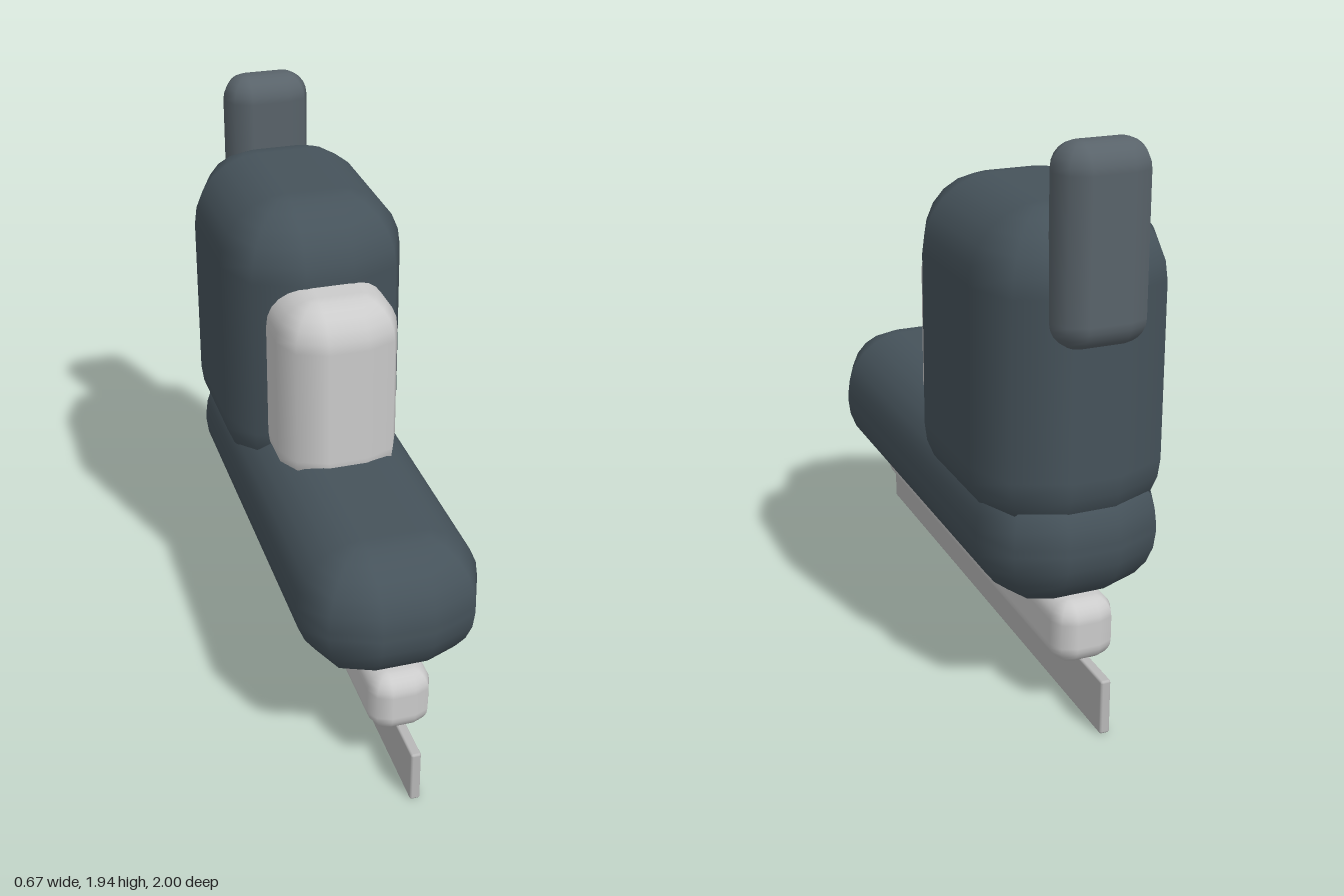
import * as THREE from 'three';

// Rounded block from x/y/z ranges: two-facet vertical corners, finely rounded top and bottom rims.
function roundedBlock([x0, x1], [y0, y1], [z0, z1], r) {
  const cornerSteps = 2, rimSteps = 6, n = 4 * (cornerSteps + 1);
  const hx = (x1 - x0) / 2 - r, hy = (y1 - y0) / 2 - r, hz = (z1 - z0) / 2 - r;
  const cx = (x0 + x1) / 2, cy = (y0 + y1) / 2, cz = (z0 + z1) / 2;
  const pos = [], nor = [], idx = [];

  // stacked rings: lower rim, then upper rim
  for (const s of [-1, 1]) {
    for (let i = 0; i <= rimSteps; i++) {
      const phi = (Math.PI / 2) * (s < 0 ? i / rimSteps - 1 : i / rimSteps);
      const ny = Math.sin(phi), c = Math.cos(phi);
      for (let q = 0; q < 4; q++) {
        const sx = q === 0 || q === 3 ? 1 : -1, sz = q < 2 ? 1 : -1;
        for (let k = 0; k <= cornerSteps; k++) {
          const a = (q + k / cornerSteps) * Math.PI / 2;
          const nx = c * Math.cos(a), nz = c * Math.sin(a);
          pos.push(cx + sx * hx + r * nx, cy + s * hy + r * ny, cz + sz * hz + r * nz);
          nor.push(nx, ny, nz);
        }
      }
    }
  }
  const rings = 2 * (rimSteps + 1);
  for (let i = 0; i < rings - 1; i++) {
    for (let j = 0; j < n; j++) {
      const a = i * n + j, b = i * n + (j + 1) % n;
      idx.push(a, a + n, b, b, a + n, b + n);
    }
  }

  // flat caps
  const bottom = rings * n, top = bottom + 1, last = (rings - 1) * n;
  pos.push(cx, y0, cz, cx, y1, cz);
  nor.push(0, -1, 0, 0, 1, 0);
  for (let j = 0; j < n; j++) {
    const k = (j + 1) % n;
    idx.push(bottom, j, k, top, last + k, last + j);
  }

  const g = new THREE.BufferGeometry();
  g.setAttribute('position', new THREE.Float32BufferAttribute(pos, 3));
  g.setAttribute('normal', new THREE.Float32BufferAttribute(nor, 3));
  g.setIndex(idx);
  return g;
}

export function createModel() {
  const group = new THREE.Group();
  const dark = new THREE.MeshStandardMaterial({ color: 0x46535b });
  const strap = new THREE.MeshStandardMaterial({ color: 0x59636a });
  const light = new THREE.MeshStandardMaterial({ color: 0xcccccc });
  const steel = new THREE.MeshStandardMaterial({ color: 0xb8b8b8 });

  const add = (name, material, halfWidth, y, z, r) => {
    const mesh = new THREE.Mesh(roundedBlock([-halfWidth, halfWidth], y, z, r), material);
    mesh.name = name;
    group.add(mesh);
  };

  // skate base
  add('blade', steel, 0.018, [0, 0.195], [-1, 1], 0.008);
  add('bladeHolder', light, 0.11, [0.18, 0.405], [-0.87, 0.87], 0.07);

  // boot
  add('bootFoot', dark, 0.32, [0.375, 0.86], [-0.9, 0.9], 0.23);
  add('bootAnkle', dark, 0.335, [0.61, 1.71], [-0.9, 0], 0.25);
  add('tongue', light, 0.22, [0.73, 1.455], [-0.2, 0.225], 0.15);
  add('heelTab', strap, 0.16, [1.3, 1.94], [-0.965, -0.775], 0.09);

  return group;
}
